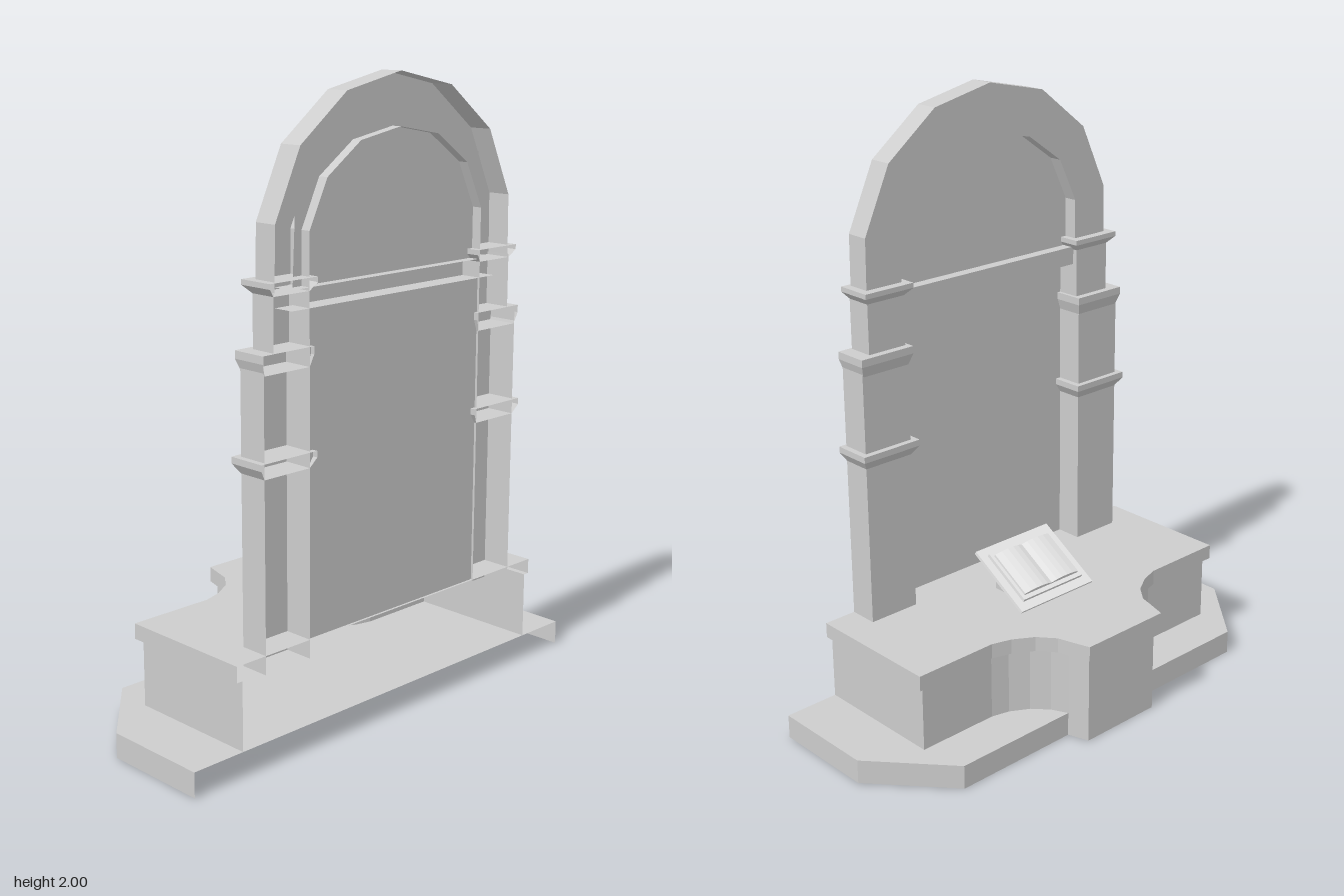
import * as THREE from 'three';

const BACK = 0.338;

export function createModel() {
  const group = new THREE.Group();
  group.name = 'altar';
  const make = (name, color) => {
    const m = new THREE.MeshStandardMaterial({ color, flatShading: true, side: THREE.DoubleSide });
    m.name = name;
    return m;
  };
  const stone = make('stone', 0xcccccc);
  const paper = make('paper', 0xf0f0f0);

  function add(name, geo, mat = stone, parent = group) {
    const mesh = new THREE.Mesh(geo, mat);
    mesh.name = name;
    parent.add(mesh);
    return mesh;
  }

  // Open strip swept between two placements of the same 2D path
  function ribbon(path, a, b) {
    const pos = [];
    for (let i = 0; i < path.length - 1; i++) {
      const [p, q] = [path[i], path[i + 1]];
      for (const v of [a(p), b(p), a(q), a(q), b(p), b(q)]) pos.push(...v);
    }
    const g = new THREE.BufferGeometry();
    g.setAttribute('position', new THREE.Float32BufferAttribute(pos, 3));
    g.computeVertexNormals();
    return g;
  }
  const upright = (path, y0, y1) => ribbon(path, ([x, z]) => [x, y0, z], ([x, z]) => [x, y1, z]);
  const deep = (path, z0, z1) => ribbon(path, ([x, y]) => [x, y, z0], ([x, y]) => [x, y, z1]);

  const shape = pts => new THREE.ShapeGeometry(new THREE.Shape(pts.map(p => new THREE.Vector2(...p))));
  const level = (pts, y) => shape(pts.map(([x, z]) => [x, -z])).rotateX(-Math.PI / 2).translate(0, y, 0);
  const facing = (pts, z) => shape(pts).translate(0, 0, z);

  // Complete a path running from +x to the middle with its mirror image
  const mirror = half => [...half, ...half.filter(p => p[0] > 0).reverse().map(([x, v]) => [-x, v])];

  // Step
  const step = mirror([[0.825, BACK], [0.825, -0.02], [0.61, -0.268]]);
  add('stepTop', level(step, 0.08));
  add('stepSides', upright([...step.slice(0, 3), [0.17, -0.268]], 0, 0.08));
  add('stepSides', upright([[-0.17, -0.268], ...step.slice(3)], 0, 0.08));
  add('plinth', upright(mirror([[0.17, -0.268], [0.148, -0.338]]), 0, 0.08));

  // Altar body with concave corners and a projecting centre
  const body = mirror([[0.64, BACK], [0.64, -0.115], [0.36, -0.115], [0.3, -0.13],
    [0.24, -0.165], [0.195, -0.215], [0.17, -0.268], [0.148, -0.338]]);
  const slab = mirror([[0.66, BACK], [0.66, -0.13], [0.37, -0.13], [0.305, -0.15],
    [0.24, -0.19], [0.195, -0.245], [0.184, -0.285], [0.163, -0.355]]);
  add('altarBody', upright(body, 0.08, 0.3));
  add('altarSlabEdge', upright(slab, 0.3, 0.35));
  add('altarSlabTop', level(slab, 0.35));
  add('altarSlabUnderside', level([...slab, ...[...body].reverse()], 0.3));

  // Moulding that flares upward, open at the rear
  function moulding(x0, x1, z, y0, y1, out) {
    const at = (d, y) => [[x1 + d, y, BACK + d * 0.5], [x1 + d, y, z - d], [x0 - d, y, z - d], [x0 - d, y, BACK + d * 0.5]];
    const low = at(0, y0), mid = at(out, y0 + (y1 - y0) * 0.6), top = at(out, y1);
    const idx = [0, 1, 2, 3];
    const g = new THREE.Group();
    g.name = 'moulding';
    add('flare', ribbon(idx, i => low[i], i => mid[i]), stone, g);
    add('band', ribbon(idx, i => mid[i], i => top[i]), stone, g);
    add('cap', level(top.map(p => [p[0], p[2]]), y1), stone, g);
    add('underside', level(low.map(p => [p[0], p[2]]), y0), stone, g);
    return g;
  }

  // Pilasters
  for (const side of [1, -1]) {
    const p = new THREE.Group();
    p.name = side > 0 ? 'leftPilaster' : 'rightPilaster';
    const channel = (x, z) => [[x, BACK], [x, z], [0.37, z], [0.37, BACK]];
    add('lowerShaft', upright(channel(0.548, 0.24), 0.29, 1.24), stone, p);
    add('upperShaft', upright(channel(0.51, 0.252), 1.24, 1.41), stone, p);
    p.add(moulding(0.37, 0.548, 0.24, 0.88, 0.93, 0.02));
    p.add(moulding(0.37, 0.545, 0.24, 1.18, 1.24, 0.012));
    p.add(moulding(0.37, 0.51, 0.252, 1.4, 1.44, 0.022));
    if (side < 0) p.traverse(o => {
      if (o.isMesh) {
        const a = o.geometry.attributes.position;
        for (let i = 0; i < a.count; i++) a.setX(i, -a.getX(i));
        const index = o.geometry.index;
        if (index) index.array.reverse();
        else for (let i = 0; i < a.count; i += 3) {
          const v = new THREE.Vector3().fromBufferAttribute(a, i);
          const w = new THREE.Vector3().fromBufferAttribute(a, i + 1);
          a.setXYZ(i, w.x, w.y, w.z);
          a.setXYZ(i + 1, v.x, v.y, v.z);
        }
        o.geometry.computeVertexNormals();
      }
    });
    group.add(p);
  }

  // Main panel and crossbeam
  add('panel', facing([[-0.37, 0.35], [0.37, 0.35], [0.37, 1.35], [-0.37, 1.35]], 0.33));
  add('crossbeam', upright([[0.37, 0.268], [-0.37, 0.268]], 1.35, 1.41));
  for (const y of [1.35, 1.41])
    add('crossbeamShelf', level([[-0.44, 0.268], [0.44, 0.268], [0.44, BACK], [-0.44, BACK]], y));

  // Arch with a recessed backing
  const outer = mirror([[0.505, 1.41], [0.502, 1.6], [0.405, 1.81], [0.222, 1.952], [0, 2]]);
  const inner = mirror([[0.37, 1.41], [0.37, 1.57], [0.3, 1.715], [0.165, 1.81], [0, 1.84]]);
  add('archFace', facing([...outer, ...[...inner].reverse()], 0.26));
  add('archOuterEdge', deep(outer, 0.26, BACK));
  add('archReveal', deep(inner, 0.26, BACK));
  add('archBacking', facing(mirror([[0.405, 1.41], [0.39, 1.74], [0, 1.955]]), 0.305));

  // Book stand, sloping down toward -z
  add('standLeg', new THREE.BoxGeometry(0.2, 0.1, 0.035).translate(0.004, 0.398, 0.127));
  const stand = new THREE.Group();
  stand.name = 'bookStand';
  stand.position.set(0.004, 0.42, 0.066);
  stand.rotation.x = -0.55;
  group.add(stand);
  add('standPlate', new THREE.BoxGeometry(0.32, 0.012, 0.262), paper, stand);
  add('bookCover', new THREE.BoxGeometry(0.264, 0.012, 0.2).translate(0, 0.012, 0), paper, stand);

  // Open pages, arched on each side of the spine
  const pages = new THREE.Shape();
  pages.moveTo(-0.12, 0.016);
  pages.lineTo(-0.12, 0.026);
  pages.quadraticCurveTo(-0.05, 0.044, 0, 0.024);
  pages.quadraticCurveTo(0.05, 0.044, 0.12, 0.026);
  pages.lineTo(0.12, 0.016);
  const pageGeo = new THREE.ExtrudeGeometry(pages, { depth: 0.17, bevelEnabled: false, curveSegments: 5 });
  add('bookPages', pageGeo.translate(0, 0, -0.085), paper, stand);

  return group;
}
